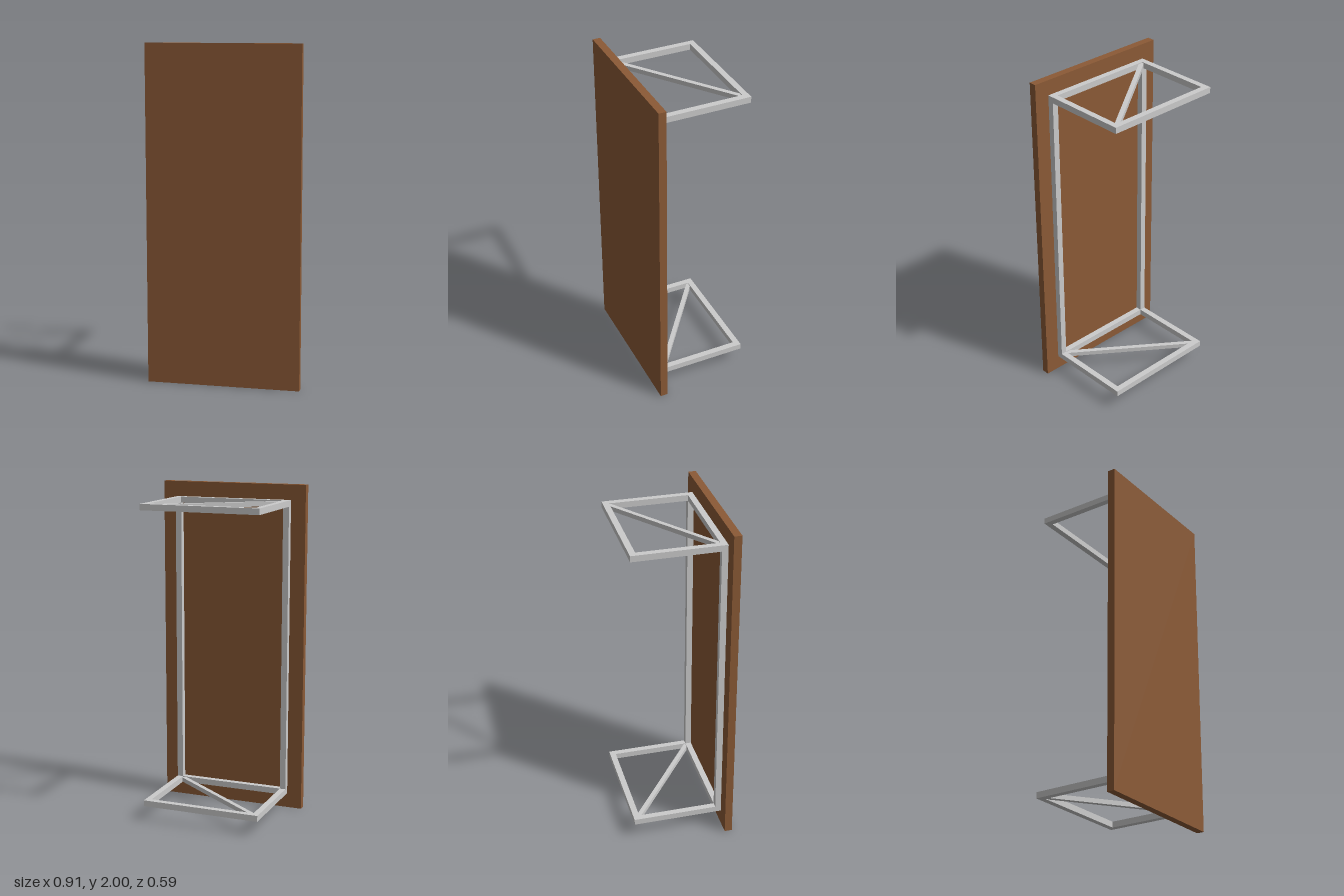
import * as THREE from 'three';

export function createModel() {
  const model = new THREE.Group();
  const steel = new THREE.MeshStandardMaterial({ color: 0xcccccc });
  const wood = new THREE.MeshStandardMaterial({ color: 0x8b5a36 });

  const BAR = 0.0364;                 // square frame tube
  const BRACE = 0.0273;               // thinner diagonal tube
  const HALF_W = 0.3636;              // half width of the frame
  const BACK = -0.2955, FRONT = 0.25; // depth range of the frame
  const LOW = 0.0909, HIGH = 1.9091;  // height range of the frame
  const depth = FRONT - BACK, midZ = (FRONT + BACK) / 2;

  function box(name, parent, material, size, position) {
    const mesh = new THREE.Mesh(new THREE.BoxGeometry(...size), material);
    mesh.name = name;
    mesh.position.set(...position);
    parent.add(mesh);
    return mesh;
  }

  // Upright board
  box('frontPanel', model, wood, [0.909, 2, 0.0455], [0, 1, 0.2727]);

  // Horizontal rectangle with one diagonal brace
  function bracket(name, y, braceSign) {
    const group = new THREE.Group();
    group.name = name;
    group.position.set(0, y, midZ);
    model.add(group);
    const railX = HALF_W - BAR / 2, railZ = (depth - BAR) / 2;
    for (const s of [-1, 1]) {
      box(s > 0 ? 'leftRail' : 'rightRail', group, steel, [BAR, BAR, depth], [s * railX, 0, 0]);
      box(s > 0 ? 'frontRail' : 'backRail', group, steel,
        [2 * (HALF_W - BAR), BAR, BAR], [0, 0, s * railZ]);
    }
    const brace = box('diagonalBrace', group, steel,
      [2 * Math.hypot(railX, railZ), BRACE, BRACE], [0, 0, 0]);
    brace.rotation.y = braceSign * Math.atan2(railZ, railX);
  }
  bracket('topBracket', HIGH - BAR / 2, 1);
  bracket('bottomBracket', LOW + BAR / 2, -1);

  // Uprights joining the two brackets behind the board
  for (const s of [-1, 1]) {
    box(s > 0 ? 'leftUpright' : 'rightUpright', model, steel,
      [BAR, HIGH - LOW - 2 * BAR, BAR], [s * (HALF_W - BAR / 2), (LOW + HIGH) / 2, FRONT - BAR / 2]);
  }

  return model;
}
